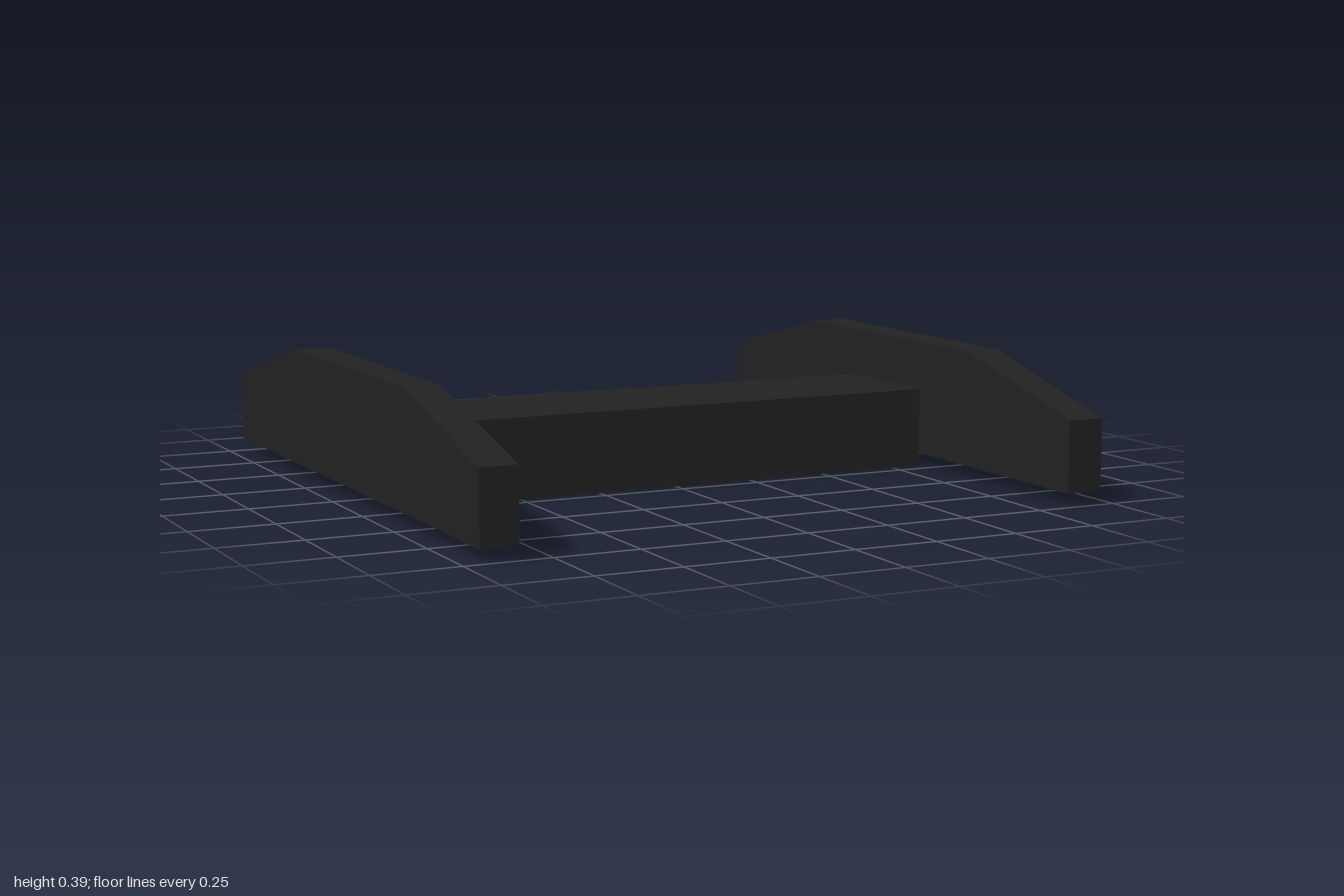
import * as THREE from 'three';

export function createModel() {
  const group = new THREE.Group();
  const black = new THREE.MeshStandardMaterial({ color: 0x222222 });
  black.name = 'matte black';

  // Cross beam joining the two side rails
  const beam = new THREE.Mesh(new THREE.BoxGeometry(1.69, 0.24, 0.404), black);
  beam.name = 'crossBeam';
  beam.position.y = 0.12;
  group.add(beam);

  // Side rail outline: flat bottom, tapered ends (shape x runs along the model's z)
  const outline = new THREE.Shape([
    [-1, 0.04], [1, 0.04], [1, 0.25], [0.46, 0.387], [-0.46, 0.387], [-1, 0.25],
  ].map(([z, y]) => new THREE.Vector2(z, y)));
  const thickness = 0.11;
  const railGeometry = new THREE.ExtrudeGeometry(outline, { depth: thickness, bevelEnabled: false });
  railGeometry.translate(0, 0, -thickness / 2);
  railGeometry.rotateY(Math.PI / 2);

  // One rail on each side
  for (const [name, side] of [['leftRail', 1], ['rightRail', -1]]) {
    const rail = new THREE.Mesh(railGeometry, black);
    rail.name = name;
    rail.position.x = side * 0.9;
    group.add(rail);
  }
  return group;
}
